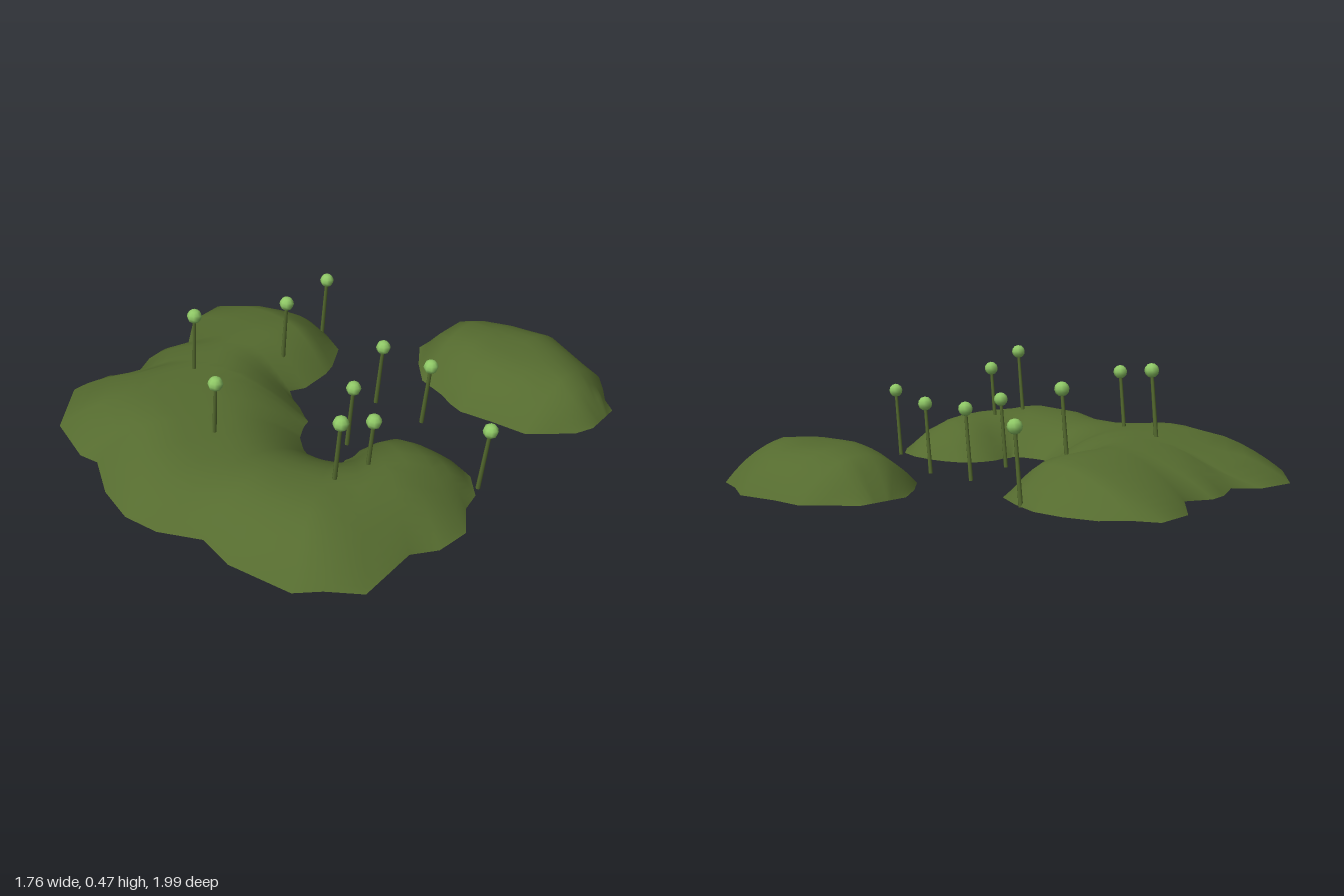
import * as THREE from 'three';

const BASE = 0.018;

// Cross-section ends along each clump: [outer x, outer z, inner x, inner z]
const mainSections = [
  [-0.48, -0.38, -0.48, -0.38], [-0.6, -0.36, -0.36, -0.355], [-0.72, -0.31, -0.24, -0.31],
  [-0.8, -0.22, -0.17, -0.2], [-0.88, -0.17, -0.15, -0.14], [-0.87, -0.02, -0.14, -0.01],
  [-0.73, 0.13, -0.17, 0.05], [-0.78, 0.23, -0.12, 0.08], [-0.77, 0.31, -0.06, 0.1],
  [-0.71, 0.43, 0, 0.13], [-0.79, 0.51, 0.03, 0.14], [-0.81, 0.67, 0.04, 0.17],
  [-0.65, 0.85, 0.05, 0.19], [-0.44, 0.9, 0.07, 0.22], [-0.36, 0.88, 0.08, 0.235],
  [-0.2, 0.96, 0.11, 0.255], [-0.04, 0.99, 0.14, 0.275], [0.1, 0.96, 0.17, 0.285],
  [0.25, 0.87, 0.22, 0.275], [0.4, 0.89, 0.27, 0.26], [0.65, 0.83, 0.31, 0.24],
  [0.72, 0.75, 0.3, 0.21], [0.83, 0.66, 0.31, 0.18], [0.81, 0.42, 0.3, 0.13],
  [0.87, 0.33, 0.31, 0.08], [0.88, 0.2, 0.33, 0.03], [0.8, 0.1, 0.37, -0.01],
  [0.78, 0.02, 0.43, -0.04], [0.7, -0.05, 0.5, -0.06], [0.6, -0.07, 0.6, -0.07],
];
const backSections = [
  [0, -0.57, 0, -0.77], [0.08, -0.47, 0.09, -0.86], [0.17, -0.39, 0.16, -0.93],
  [0.29, -0.37, 0.28, -0.95], [0.36, -0.345, 0.36, -0.975], [0.42, -0.335, 0.44, -1],
  [0.55, -0.37, 0.57, -0.95], [0.69, -0.4, 0.68, -0.93], [0.76, -0.47, 0.74, -0.87],
  [0.83, -0.54, 0.79, -0.81], [0.86, -0.62, 0.85, -0.77],
];

// Distance from a point to a closed outline
function edgeDistance(x, z, outline) {
  let best = Infinity;
  outline.forEach(([ax, az], i) => {
    const [bx, bz] = outline[(i + 1) % outline.length];
    const dx = bx - ax, dz = bz - az;
    const len2 = dx * dx + dz * dz;
    const t = len2 < 1e-9 ? 0 : THREE.MathUtils.clamp(((x - ax) * dx + (z - az) * dz) / len2, 0, 1);
    best = Math.min(best, Math.hypot(x - ax - t * dx, z - az - t * dz));
  });
  return best;
}

// Strip of sections; height(x, z) gives the surface, and flip turns it downwards
function loft(sections, steps, height, flip) {
  const positions = [], index = [], row = steps + 1;
  sections.forEach(([ox, oz, ix, iz], i) => {
    for (let j = 0; j <= steps; j++) {
      const t = 0.5 - 0.5 * Math.cos((Math.PI * j) / steps);
      const x = ox + (ix - ox) * t, z = oz + (iz - oz) * t;
      positions.push(x, height(x, z), z);
      if (i === sections.length - 1 || j === steps) continue;
      const a = i * row + j, b = a + row;
      if (flip) index.push(a, a + 1, b, a + 1, b + 1, b);
      else index.push(a, b, a + 1, a + 1, b, b + 1);
    }
  });
  const geometry = new THREE.BufferGeometry();
  geometry.setAttribute('position', new THREE.Float32BufferAttribute(positions, 3));
  geometry.setIndex(index);
  geometry.computeVertexNormals();
  return geometry;
}

// Domed clump that rises from its outline and levels off inwards
function mossClump(name, sections, peak, reach, power, material) {
  const outline = [
    ...sections.map((s) => [s[0], s[1]]),
    ...sections.map((s) => [s[2], s[3]]).reverse(),
  ];
  const dome = (x, z) => {
    const s = Math.min(edgeDistance(x, z, outline) / reach, 1);
    return BASE + peak(x, z) * (1 - Math.pow(1 - s, power));
  };
  const group = new THREE.Group();
  group.name = name;
  const top = new THREE.Mesh(loft(sections, 18, dome, false), material);
  top.name = name + 'Top';
  const underside = new THREE.Mesh(loft(sections, 1, () => BASE, true), material);
  underside.name = name + 'Underside';
  group.add(top, underside);
  return group;
}

export function createModel() {
  const model = new THREE.Group();
  model.name = 'mossPatch';
  const moss = new THREE.MeshStandardMaterial({ color: 0x556b2f });
  moss.name = 'mossGreen';
  const spore = new THREE.MeshStandardMaterial({ color: 0x8fc866 });
  spore.name = 'sporeGreen';

  // Moss clumps
  const rolling = (x) => 0.15 + 0.02 * Math.cos((2 * Math.PI * (x + 0.3)) / 0.8);
  model.add(mossClump('mainClump', mainSections, rolling, 0.3, 2.2, moss));
  model.add(mossClump('backClump', backSections, () => 0.16, 0.28, 2.6, moss));

  // Leaning stalks with round spore heads: head x, y, z
  const heads = [
    [-0.355, 0.3, -0.355], [0.15, 0.287, -0.16], [0.37, 0.287, -0.19], [0.78, 0.287, -0.035],
    [0.255, 0.287, 0.12], [-0.235, 0.39, -0.005], [-0.36, 0.442, 0.365], [-0.02, 0.392, 0.555],
    [0.527, 0.38, 0.305], [0.512, 0.446, 0.455],
  ];
  const stalkLength = 0.287;
  const stalkGeometry = new THREE.CylinderGeometry(0.007, 0.009, stalkLength, 6);
  stalkGeometry.translate(0, -stalkLength / 2, 0);
  const headGeometry = new THREE.SphereGeometry(0.029, 8, 6);
  for (const position of heads) {
    const sporophyte = new THREE.Group();
    sporophyte.name = 'sporophyte';
    const stalk = new THREE.Mesh(stalkGeometry, moss);
    stalk.name = 'stalk';
    const head = new THREE.Mesh(headGeometry, spore);
    head.name = 'sporeHead';
    sporophyte.add(stalk, head);
    sporophyte.position.set(...position);
    sporophyte.rotation.z = -0.11;
    model.add(sporophyte);
  }
  return model;
}
